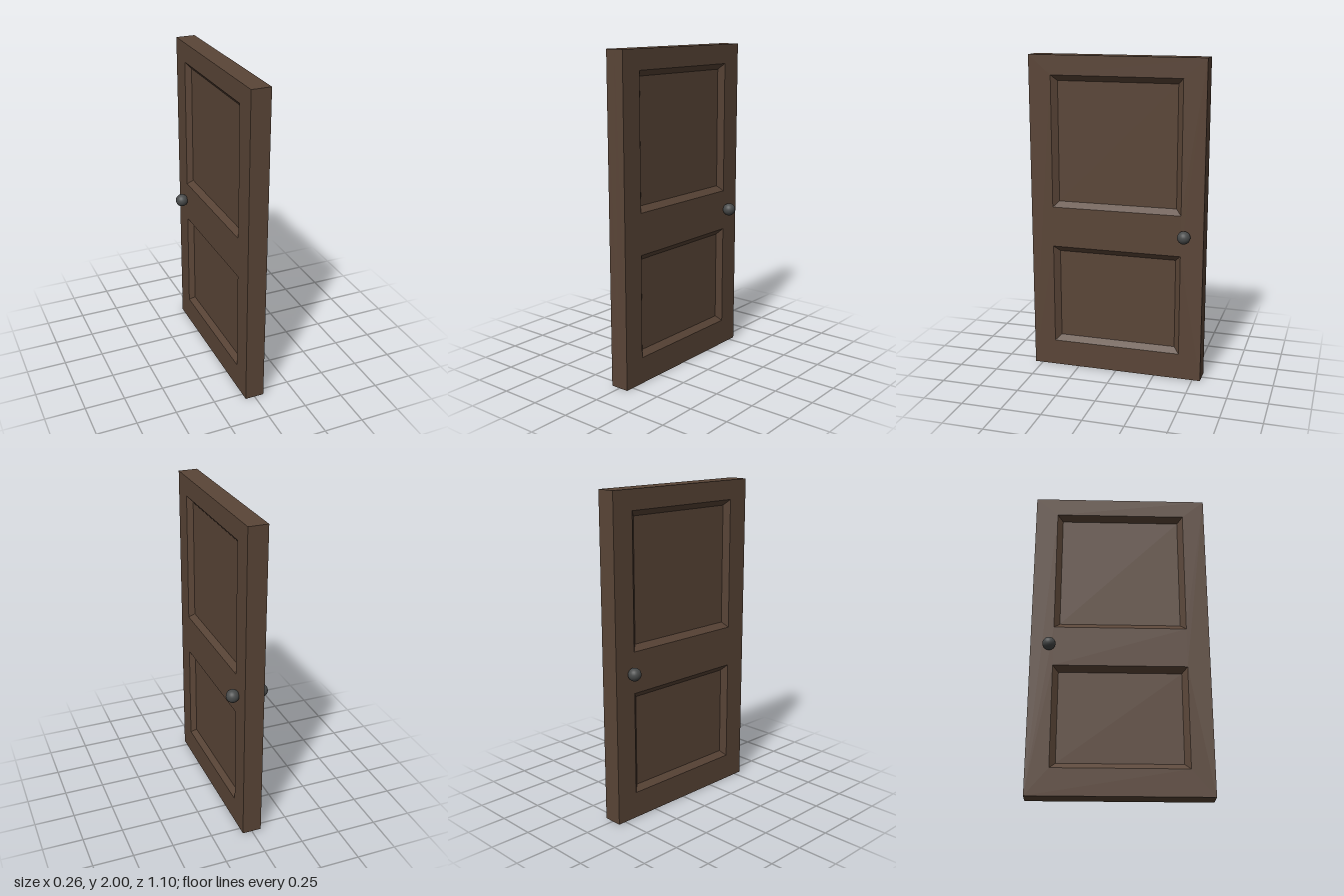
import * as THREE from 'three';

const HALF_W = 0.55, HEIGHT = 2, HALF_T = 0.06, RECESS = 0.03, BEVEL = 0.035;
const wood = new THREE.MeshStandardMaterial({ color: 0x5a4537 });
const metal = new THREE.MeshStandardMaterial({ color: 0x484a4a });

// Corners of a rectangle, counter-clockwise
const rect = (hw, y0, y1) => [[-hw, y0], [hw, y0], [hw, y1], [-hw, y1]];

// Flat-sided band joining rectangle a at depth za to rectangle b at depth zb
function band(a, za, b, zb) {
  const pos = [];
  for (let i = 0; i < 4; i++) {
    const j = (i + 1) % 4;
    const A = [...a[i], za], B = [...a[j], za], C = [...b[j], zb], D = [...b[i], zb];
    pos.push(...A, ...B, ...C, ...A, ...C, ...D);
  }
  const g = new THREE.BufferGeometry();
  g.setAttribute('position', new THREE.Float32BufferAttribute(pos, 3));
  g.computeVertexNormals();
  return g;
}

function add(parent, name, geometry, material) {
  const mesh = new THREE.Mesh(geometry, material);
  mesh.name = name;
  parent.add(mesh);
  return mesh;
}

// One half of the door thickness, its face looking along +z
function doorHalf(name) {
  const half = new THREE.Group();
  half.name = name;
  const toPoints = (r) => r.map(([x, y]) => new THREE.Vector2(x, y));
  const outline = rect(HALF_W, 0, HEIGHT);
  const face = new THREE.Shape(toPoints(outline));

  // Recessed panels with sloping borders
  const panels = [['lowerPanel', 0.165, 0.805], ['upperPanel', 1.06, 1.88]];
  for (const [panelName, y0, y1] of panels) {
    const hw = 0.41, inner = hw - BEVEL;
    const outer = rect(hw, y0, y1);
    face.holes.push(new THREE.Path(toPoints(outer)));
    add(half, panelName + 'Bevel',
      band(outer, HALF_T, rect(inner, y0 + BEVEL, y1 - BEVEL), HALF_T - RECESS), wood);
    add(half, panelName, new THREE.PlaneGeometry(inner * 2, y1 - y0 - BEVEL * 2), wood)
      .position.set(0, (y0 + y1) / 2, HALF_T - RECESS);
  }

  // Stiles and rails, then the outer edge
  add(half, 'frameFace', new THREE.ShapeGeometry(face), wood).position.z = HALF_T;
  add(half, 'frameEdge', band(outline, 0, outline, HALF_T), wood);
  return half;
}

export function createModel() {
  const door = new THREE.Group();
  door.name = 'door';
  for (const side of [1, -1]) {
    const label = side > 0 ? 'left' : 'right';
    const half = doorHalf(label + 'DoorHalf');
    half.rotation.y = side * Math.PI / 2;
    door.add(half);

    // Round knob set into the face
    add(door, label + 'Knob', new THREE.SphereGeometry(0.04, 24, 16), metal)
      .position.set(side * 0.09, 0.935, -0.435);
  }
  return door;
}
